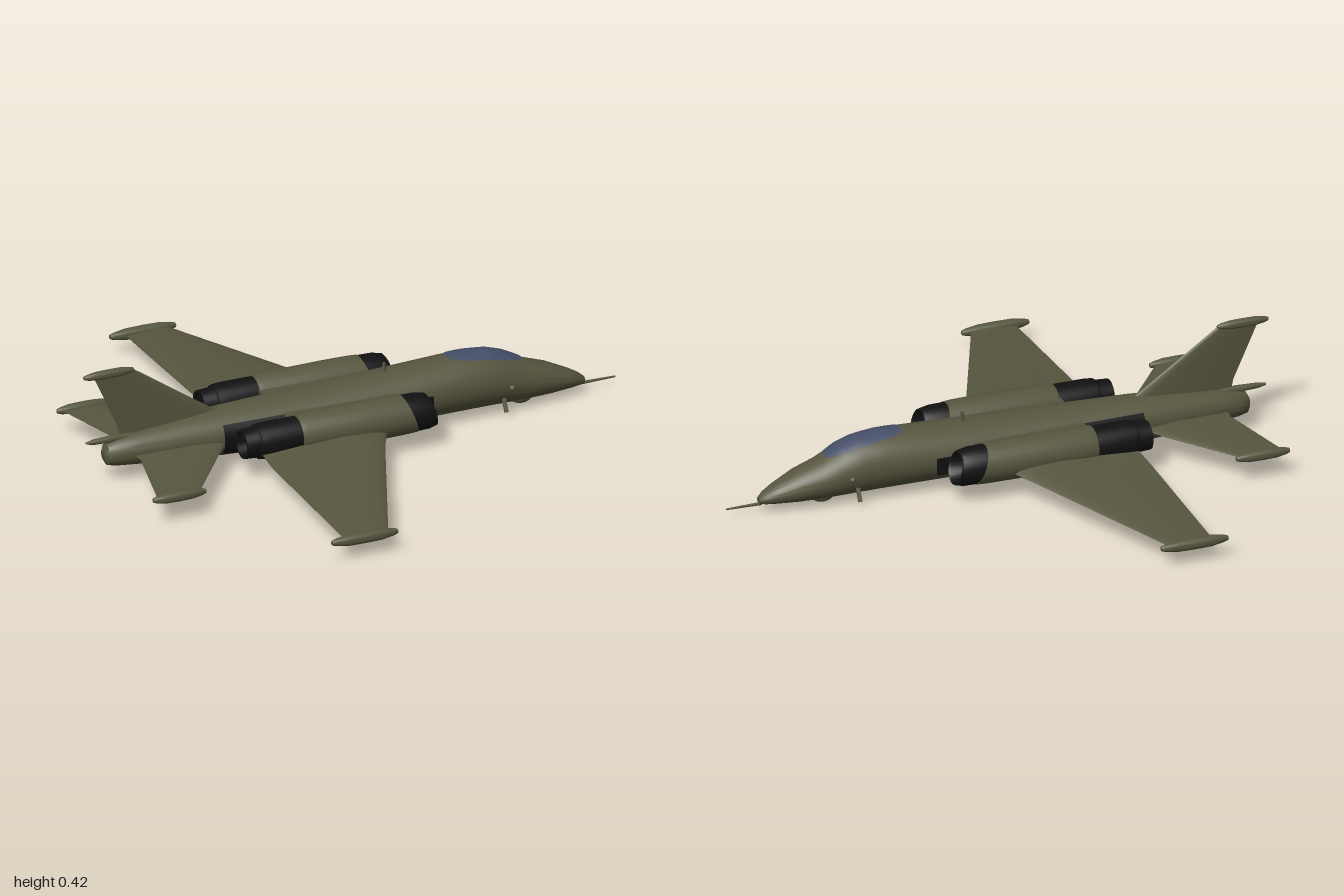
import * as THREE from 'three';
import { toCreasedNormals } from 'three/addons/utils/BufferGeometryUtils.js';

const olive = new THREE.MeshStandardMaterial({ color: 0x57563f });
olive.name = 'olive paint';
const black = new THREE.MeshStandardMaterial({ color: 0x111111, side: THREE.DoubleSide });
black.name = 'black metal';
const glass = new THREE.MeshStandardMaterial({ color: 0x454f68, side: THREE.DoubleSide });
glass.name = 'blue glass';

const V = (x, y, z) => new THREE.Vector3(x, y, z);

// Skin a row of rings; closed shells get end caps and outward faces
function loft(rings, { closed = true, caps = true, crease = 0.7 } = {}) {
  const n = rings[0].length, pos = [], idx = [];
  rings.forEach(r => r.forEach(p => pos.push(p.x, p.y, p.z)));
  for (let i = 0; i < rings.length - 1; i++) {
    for (let j = 0; j < (closed ? n : n - 1); j++) {
      const a = i * n + j, b = i * n + (j + 1) % n;
      idx.push(a, b, a + n, b, b + n, a + n);
    }
  }
  if (caps) {
    const last = (rings.length - 1) * n;
    for (let j = 1; j < n - 1; j++) idx.push(0, j + 1, j, last, last + j, last + j + 1);
    const at = i => V(pos[3 * i], pos[3 * i + 1], pos[3 * i + 2]);
    let volume = 0;
    for (let i = 0; i < idx.length; i += 3) volume += at(idx[i]).dot(at(idx[i + 1]).cross(at(idx[i + 2])));
    if (volume < 0) idx.reverse();
  }
  const g = new THREE.BufferGeometry();
  g.setAttribute('position', new THREE.Float32BufferAttribute(pos, 3));
  g.setIndex(idx);
  return toCreasedNormals(g, crease);
}

// Round body along x from [x, radius, rake] stations
function revolve(stations, sides = 28) {
  return loft(stations.map(([x, r, rake = 0]) => Array.from({ length: sides }, (_, j) => {
    const a = j / sides * Math.PI * 2, y = r * Math.sin(a);
    return V(x - rake * y, y, r * Math.cos(a));
  })));
}

// Flying surface from [leading x, trailing x, thickness, y, z] sections
function foil(sections, vertical = false) {
  const half = [[0, 0], [0.03, 0.45], [0.12, 0.8], [0.35, 1], [0.7, 0.6], [1, 0.1]];
  const outline = [...half, ...half.slice(1).reverse().map(([t, h]) => [t, -h])];
  return loft(sections.map(([lead, trail, thick, y, z]) => outline.map(([t, h]) => {
    const x = lead + (trail - lead) * t, d = h * thick / 2;
    return vertical ? V(x, y, z + d) : V(x, y + d, z);
  })));
}

// Fuselage stations: x, half width, top, bottom
const hull = [
  [-0.925, 0.02, 0.125, 0.085], [-0.915, 0.035, 0.145, 0.067], [-0.88, 0.047, 0.158, 0.06],
  [-0.8, 0.06, 0.172, 0.053], [-0.65, 0.076, 0.187, 0.043], [-0.5, 0.092, 0.2, 0.032],
  [-0.3, 0.105, 0.206, 0.024], [0, 0.112, 0.216, 0.024], [0.2, 0.112, 0.224, 0.028],
  [0.35, 0.107, 0.232, 0.028], [0.44, 0.102, 0.234, 0.027], [0.52, 0.096, 0.227, 0.026],
  [0.58, 0.09, 0.208, 0.025], [0.66, 0.08, 0.166, 0.025], [0.74, 0.067, 0.139, 0.026],
  [0.82, 0.045, 0.1, 0.03], [0.86, 0.03, 0.077, 0.033], [0.88, 0.014, 0.06, 0.037],
];
function hullAt(x) {
  let i = 0;
  while (i < hull.length - 2 && hull[i + 1][0] < x) i++;
  const t = (x - hull[i][0]) / (hull[i + 1][0] - hull[i][0]);
  const [, w, top, low] = hull[i].map((v, k) => v + (hull[i + 1][k] - v) * t);
  return { w, cy: (top + low) / 2, h: (top - low) / 2 };
}
function hullPoint(x, a, grow = 0) {
  const { w, cy, h } = hullAt(x);
  return V(x, cy + (h + grow) * Math.sin(a), (w + grow) * Math.cos(a));
}

export function createModel() {
  const model = new THREE.Group();
  const add = (name, geometry, material, x = 0, y = 0, z = 0) => {
    const m = new THREE.Mesh(geometry, material);
    m.name = name;
    m.position.set(x, y, z);
    model.add(m);
    return m;
  };
  // Slim pod with blunt rounded ends
  const pod = (length, r) => revolve(
    [[-0.5, 0.15], [-0.49, 0.4], [-0.42, 0.65], [-0.25, 0.95], [0, 1], [0.25, 0.95], [0.42, 0.65], [0.49, 0.4], [0.5, 0.15]]
      .map(([x, k]) => [x * length, k * r]), 16);

  // Fuselage, nose probe and tail cone
  add('fuselage', loft(hull.map(([x]) => Array.from({ length: 40 }, (_, j) => hullPoint(x, j / 40 * Math.PI * 2)))), olive);
  add('noseProbe', revolve([[0.87, 0.006], [1, 0.003]], 10), olive, 0, 0.035);
  add('tailCone', revolve([[-0.99, 0.004], [-0.96, 0.01], [-0.88, 0.013], [-0.78, 0.01]], 14), olive, 0, 0.16);

  // Canopy glass follows the top of the fuselage
  const canopyRings = Array.from({ length: 9 }, (_, i) => Array.from({ length: 40 }, (_, j) => {
    const a = j / 40 * Math.PI * 2, r = Math.max(i / 8, 0.01), c = Math.cos(a), s = Math.sin(a);
    const x = 0.5 + 0.142 * r * Math.sign(c) * Math.abs(c) ** 0.75;
    const z = 0.055 * r * Math.sign(s) * Math.abs(s) ** 0.75;
    const { w, cy, h } = hullAt(x);
    return V(x, cy + h * Math.sqrt(1 - (z / w) ** 2) + 0.004, z);
  }));
  add('canopy', loft(canopyRings, { caps: false, crease: 1.2 }), glass);

  // Belly window, chin blister and aerials
  add('bellyFairing', new THREE.BoxGeometry(0.19, 0.016, 0.06), olive, -0.13, 0.021, 0);
  add('bellyWindow', new THREE.BoxGeometry(0.16, 0.006, 0.045), glass, -0.13, 0.012, 0);
  add('chinBlister', new THREE.SphereGeometry(1, 20, 14).scale(0.042, 0.027, 0.027), olive, 0.645, 0.032, 0);
  add('topAerial', new THREE.CylinderGeometry(0.005, 0.01, 0.04, 8), olive, 0.13, 0.232, 0);

  for (const s of [1, -1]) {
    // Engine: cowl, raked intake and exhaust
    const ez = 0.178 * s, ey = 0.135;
    add('engineCowl', revolve([[-0.28, 0.066], [-0.26, 0.07], [0, 0.072], [0.1, 0.071, 0.2], [0.14, 0.069, 0.35]]), olive, 0, ey, ez);
    add('engineIntake', revolve([[0.13, 0.067, 0.35], [0.19, 0.066, 0.3], [0.222, 0.059, 0.25], [0.225, 0.054, 0.25],
      [0.215, 0.05, 0.25], [0.15, 0.045, 0.25]]), black, 0, ey, ez);
    add('engineExhaust', revolve([[-0.27, 0.064], [-0.4, 0.064], [-0.43, 0.061], [-0.435, 0.054], [-0.485, 0.051],
      [-0.485, 0.044], [-0.4, 0.04]]), black, 0, ey, ez);
    add('splitterPlate', new THREE.BoxGeometry(0.13, 0.06, 0.012), black, 0.2, 0.115, 0.112 * s);
    add('engineFairing', new THREE.BoxGeometry(0.41, 0.08, 0.08), olive, -0.08, 0.135, 0.11 * s);

    // Dark heat panel on the fuselage beside the exhaust
    const panel = [-0.51, -0.43, -0.35, -0.28].map(x => Array.from({ length: 11 }, (_, j) => {
      const p = hullPoint(x, -0.75 + j * 0.14, 0.004);
      p.z *= s;
      return p;
    }));
    add('heatPanel', loft(panel, { closed: false, caps: false, crease: 1.2 }), black);

    // Wing with tip pod
    add('wing', foil([[0.05, -0.43, 0.05, 0.108, 0.2 * s], [0.03, -0.43, 0.046, 0.105, 0.245 * s],
      [-0.01, -0.435, 0.032, 0.098, 0.32 * s], [-0.27, -0.43, 0.014, 0.077, 0.92 * s]]), olive);
    add('wingTipPod', pod(0.25, 0.021), olive, -0.36, 0.076, 0.923 * s);

    // Tailplane with tip pod
    add('tailplane', foil([[-0.47, -0.83, 0.026, 0.105, 0.03 * s], [-0.51, -0.825, 0.024, 0.104, 0.09 * s],
      [-0.745, -0.9, 0.012, 0.099, 0.4 * s]]), olive);
    add('tailplanePod', pod(0.2, 0.019), olive, -0.82, 0.099, 0.4 * s);

    // Side sensor and lower blade near the cockpit
    add('sideSensor', new THREE.SphereGeometry(0.011, 12, 8), olive, 0.57, 0.112, 0.095 * s);
    const blade = add('lowerBlade', new THREE.BoxGeometry(0.014, 0.05, 0.006), olive, 0.545, 0.05, 0.09 * s);
    blade.rotation.x = -0.5 * s;
  }

  // Fin with top pod
  add('fin', foil([[-0.44, -0.86, 0.026, 0.15, 0], [-0.51, -0.87, 0.022, 0.2, 0], [-0.815, -0.965, 0.012, 0.41, 0]], true), olive);
  add('finPod', pod(0.19, 0.016), olive, -0.905, 0.407, 0);

  // Rest the lowest point on the ground plane
  const low = new THREE.Box3().setFromObject(model).min.y;
  model.children.forEach(m => { m.position.y -= low; });
  return model;
}
